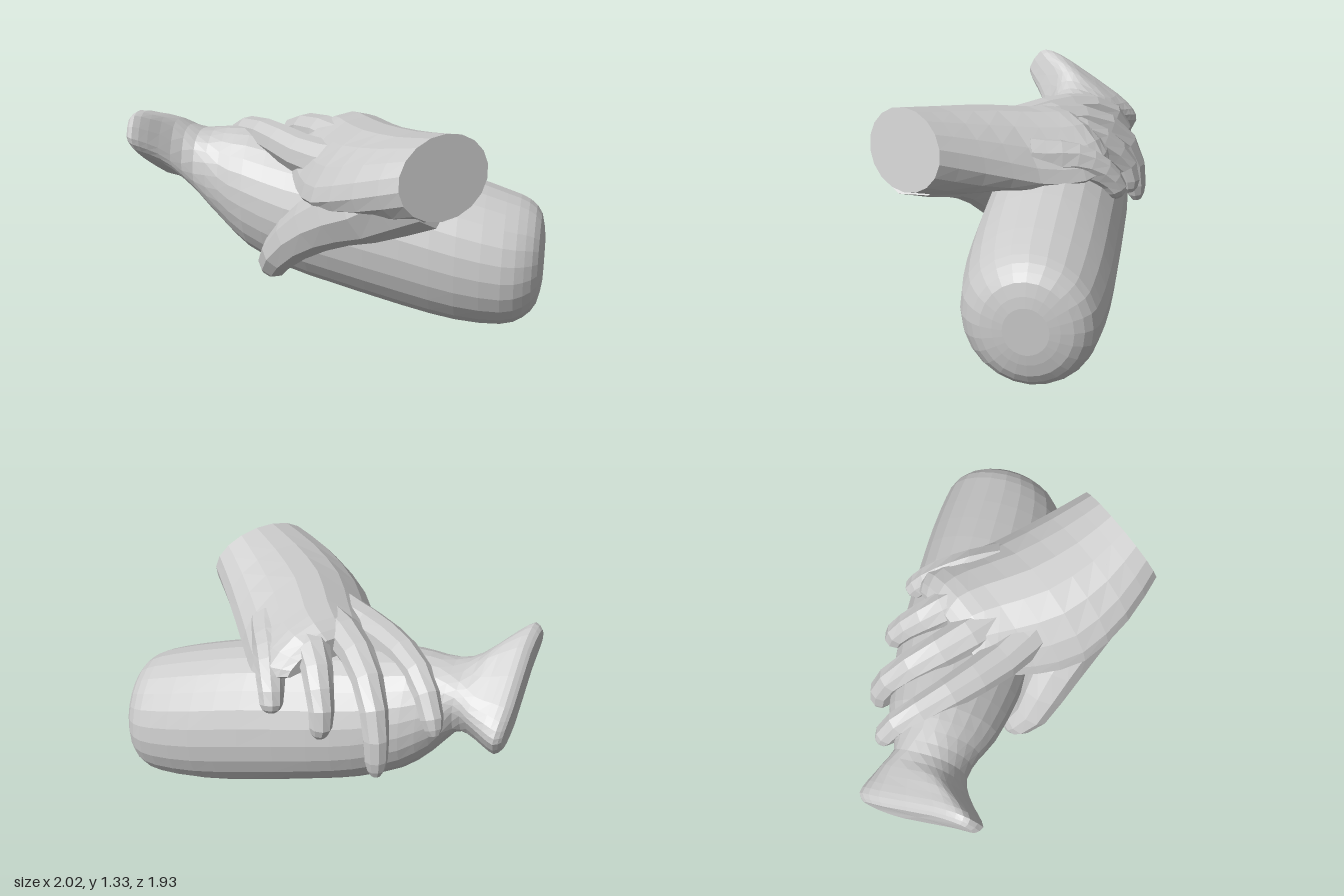
import * as THREE from 'three';

const V = (x, y, z) => new THREE.Vector3(x, y, z);
const material = new THREE.MeshStandardMaterial({ color: 0xcccccc, flatShading: true });

// Skin a list of rings (equal point counts) and close both ends
function loft(name, rings) {
  const n = rings[0].length, pos = [], index = [];
  const add = (p) => pos.push(p.x, p.y, p.z);
  rings.forEach((r) => r.forEach(add));
  for (let i = 0; i < rings.length - 1; i++) {
    for (let j = 0; j < n; j++) {
      const a = i * n + j, b = i * n + (j + 1) % n;
      index.push(a, b, a + n, b, b + n, a + n);
    }
  }
  [0, rings.length - 1].forEach((i, end) => {
    const c = pos.length / 3, mid = V(0, 0, 0);
    rings[i].forEach((p) => mid.addScaledVector(p, 1 / n));
    add(mid);
    for (let j = 0; j < n; j++) {
      const a = i * n + j, b = i * n + (j + 1) % n;
      if (end) index.push(a, b, c); else index.push(b, a, c);
    }
  });
  const g = new THREE.BufferGeometry();
  g.setAttribute('position', new THREE.Float32BufferAttribute(pos, 3));
  g.setIndex(index);
  g.computeVertexNormals();
  const mesh = new THREE.Mesh(g, material);
  mesh.name = name;
  return mesh;
}

const ring = (n, f) => Array.from({ length: n }, (_, j) => {
  const a = (j / n) * Math.PI * 2;
  return f(Math.cos(a), Math.sin(a));
});

// Smoothly resample a table of section values
function resample(rows, steps) {
  const out = [];
  for (let i = 0; i < rows.length - 1; i++) {
    for (let s = 0; s < steps; s++) {
      const t = s / steps;
      out.push(rows[i].map((v, k) => {
        const p = (rows[i - 1] || rows[i])[k], q = rows[i + 1][k], r = (rows[i + 2] || rows[i + 1])[k];
        return 0.5 * (2 * v + (q - p) * t + (2 * p - 5 * v + 4 * q - r) * t * t + (3 * v - p - 3 * q + r) * t ** 3);
      }));
    }
  }
  out.push(rows[rows.length - 1]);
  return out;
}

// Long sack running diagonally, gathered into a neck with a flared, tilted tail
function makeSack() {
  const H = V(0.78, 0, -0.626), U = V(0.626, 0, 0.78);
  const square = (v, e) => Math.sign(v) * Math.abs(v) ** e;
  // distance along, centre height, sideways shift, half width, half height, tilt
  const rows = [
    [1.165, 0.39, -0.05, 0.12, 0.13, 0],
    [1.14, 0.39, -0.05, 0.24, 0.26, 0],
    [1.07, 0.385, -0.05, 0.325, 0.34, 0],
    [0.95, 0.39, -0.035, 0.37, 0.385, 0],
    [0.7, 0.435, -0.025, 0.395, 0.42, 0],
    [0.4, 0.505, -0.02, 0.395, 0.43, 0],
    [0, 0.59, -0.015, 0.385, 0.41, 0],
    [-0.25, 0.64, -0.01, 0.36, 0.39, 0],
    [-0.5, 0.715, -0.01, 0.31, 0.35, 0],
    [-0.65, 0.78, -0.01, 0.25, 0.28, 0],
    [-0.78, 0.86, 0, 0.2, 0.19, 0.3],
    [-0.88, 0.91, 0, 0.24, 0.165, 0.57],
    [-0.98, 0.94, 0.01, 0.33, 0.145, 0.57],
    [-1.05, 0.95, 0.02, 0.38, 0.135, 0.57],
    [-1.09, 0.95, 0.02, 0.35, 0.1, 0.57],
  ];
  return loft('sack', resample(rows, 2).map(([h, y, shift, w, t, tilt]) => ring(24, (c, s) => {
    const e = 1 - 0.8 * tilt, a = w * square(c, e), b = t * square(s, e);
    const u = a * Math.cos(tilt) - b * Math.sin(tilt);
    const v = a * Math.sin(tilt) + b * Math.cos(tilt);
    return V(0, y + v, 0).addScaledVector(H, h - 0.06 * tilt * c).addScaledVector(U, u + shift);
  })));
}

// Forearm stump and back of the hand, arched over the sack
function makePalm() {
  // x, centre y, centre z, half height, half width, arch, slant of the cut
  const rows = [
    [0.95, 1.125, 0.115, 0.21, 0.31, 0, 0.24],
    [0.7, 1.07, 0.13, 0.22, 0.38, 0.25, 0.1],
    [0.4, 1.075, 0.1, 0.175, 0.43, 0.8, 0],
    [0.15, 1.08, 0.01, 0.13, 0.42, 1, 0],
    [0.0, 1.08, -0.03, 0.11, 0.37, 1, 0],
    [-0.1, 1.06, -0.02, 0.06, 0.3, 1, 0],
  ];
  return loft('handAndWrist', resample(rows, 2).map(([x, y, z, h, w, arch, slant]) =>
    ring(18, (c, s) => V(x - slant * h * s, y + h * s - arch * (w * c) ** 2, z + w * c))));
}

// Tapering digit with a rounded tip, following a bent path
function makeDigit(name, points, r0, r1) {
  const curve = new THREE.CatmullRomCurve3(points.map((p) => V(...p)));
  const stops = [0, 0.14, 0.28, 0.42, 0.56, 0.7, 0.82, 0.92, 0.97, 1];
  return loft(name, stops.map((t) => {
    const p = curve.getPointAt(t), d = curve.getTangentAt(t);
    const e1 = V(0, 0, 1).cross(d).normalize(), e2 = d.clone().cross(e1);
    const round = t > 0.99 ? 0.45 : t > 0.95 ? 0.8 : 1;
    const r = THREE.MathUtils.lerp(r0, r1, t) * round;
    return ring(9, (c, s) => p.clone().addScaledVector(e1, r * c).addScaledVector(e2, r * s));
  }));
}

export function createModel() {
  const model = new THREE.Group();
  model.name = 'handHoldingSack';
  const hand = new THREE.Group();
  hand.name = 'hand';
  hand.add(
    makePalm(),
    makeDigit('thumb', [[0.82, 1.07, 0.17], [0.6, 0.92, 0.3], [0.4, 0.81, 0.38], [0.22, 0.67, 0.45], [0.09, 0.53, 0.495], [-0.05, 0.36, 0.46]], 0.245, 0.075),
    makeDigit('indexFinger', [[0.35, 1.03, 0.22], [0.1, 1.02, 0.27], [-0.15, 1.04, 0.28], [-0.45, 1.03, 0.26], [-0.63, 0.95, 0.22], [-0.74, 0.77, 0.2]], 0.13, 0.06),
    makeDigit('middleFinger', [[0.3, 1.06, 0.08], [-0.1, 1.07, 0.07], [-0.38, 0.98, 0.01], [-0.53, 0.81, -0.04], [-0.58, 0.51, -0.06]], 0.125, 0.06),
    makeDigit('ringFinger', [[0.3, 1.06, -0.06], [-0.05, 1.05, -0.13], [-0.22, 0.94, -0.2], [-0.31, 0.82, -0.24], [-0.32, 0.68, -0.26]], 0.125, 0.06),
    makeDigit('littleFinger', [[0.35, 1.01, -0.16], [0.15, 0.99, -0.28], [0.02, 0.92, -0.36], [-0.05, 0.84, -0.4], [-0.08, 0.76, -0.42]], 0.13, 0.06),
  );
  model.add(makeSack(), hand);
  return model;
}
